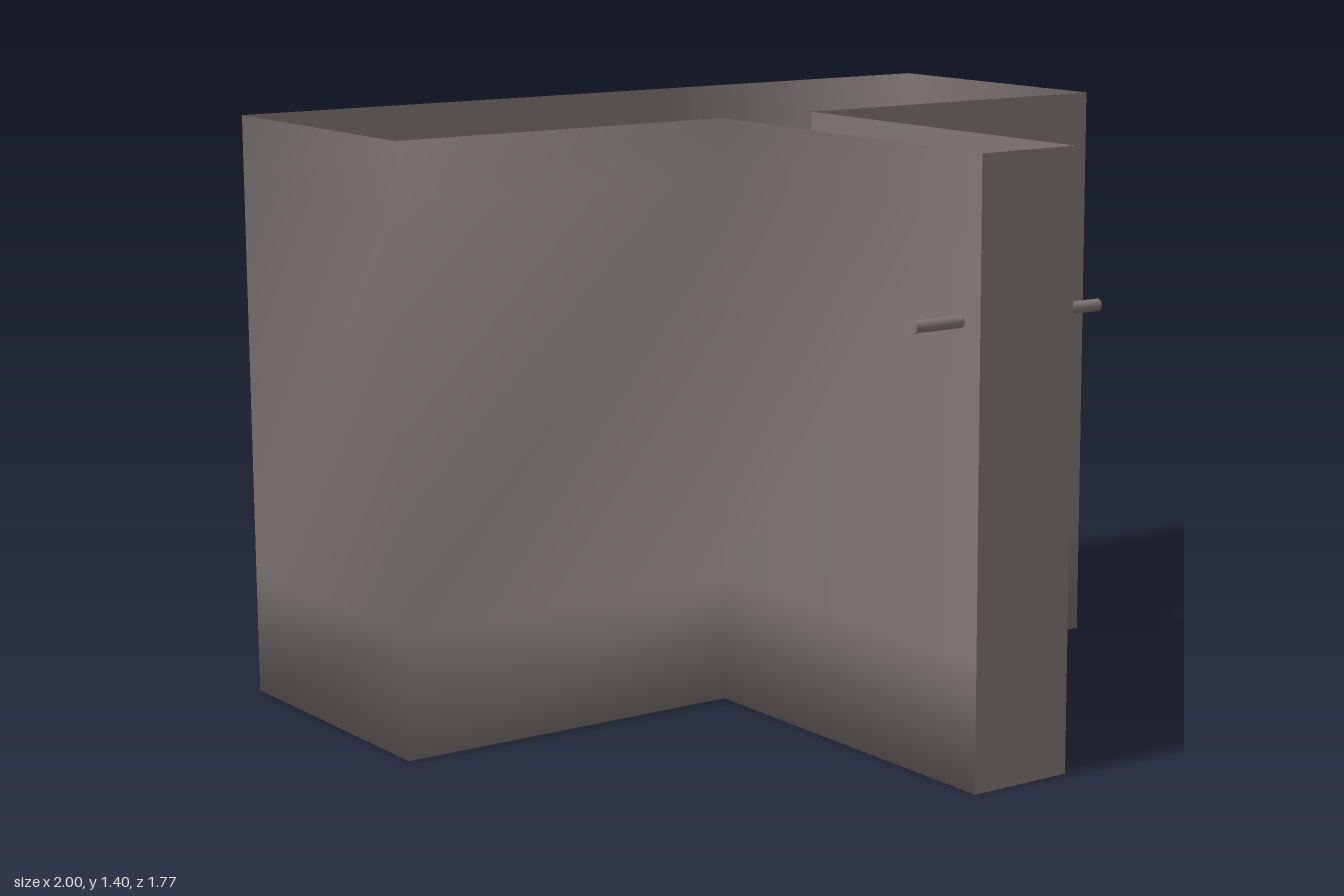
import * as THREE from 'three';

const wallMat = new THREE.MeshStandardMaterial({ color: 0x807875, side: THREE.DoubleSide });
wallMat.name = 'warm grey';

const BACK = -0.785, MID = -0.06, FRONT = 0.885, W = 0.13, H = 1.4;
const WIN = { x: 0.2, y0: 0.3, y1: 1.26, z: -0.885 };

function mesh(name, geometry) {
  const m = new THREE.Mesh(geometry, wallMat);
  m.name = name;
  return m;
}

function box(name, x0, x1, y0, y1, z0, z1) {
  const g = new THREE.BoxGeometry(x1 - x0, y1 - y0, z1 - z0);
  g.translate((x0 + x1) / 2, (y0 + y1) / 2, (z0 + z1) / 2);
  return mesh(name, g);
}

// T-shaped room: thin walls and floor with shared, smoothed normals
function shell() {
  const plan = [
    [1, BACK], [1, MID], [W, MID], [W, FRONT], [-W, FRONT],
    [-W, MID], [-1, MID], [-1, BACK], [-WIN.x, BACK], [WIN.x, BACK],
  ];
  const rows = [0, WIN.y0, WIN.y1, H];
  const n = plan.length, pos = [], idx = [];
  for (const y of rows) for (const [x, z] of plan) pos.push(x, y, z);
  for (let r = 0; r < rows.length - 1; r++) {
    for (let i = 0; i < n; i++) {
      if (i === 3) continue;            // end wall is a separate panel
      if (i === 8 && r === 1) continue; // window opening
      const j = (i + 1) % n;
      const a = r * n + i, b = r * n + j, c = a + n, d = b + n;
      idx.push(a, c, b, b, c, d);
    }
  }
  const contour = plan.map(([x, z]) => new THREE.Vector2(x, z));
  for (const [a, b, c] of THREE.ShapeUtils.triangulateShape(contour, [])) {
    const ccw = THREE.ShapeUtils.area([contour[a], contour[b], contour[c]]) > 0;
    idx.push(...(ccw ? [a, b, c] : [a, c, b]));
  }
  const g = new THREE.BufferGeometry();
  g.setAttribute('position', new THREE.Float32BufferAttribute(pos, 3));
  g.setIndex(idx);
  g.computeVertexNormals();
  return mesh('roomShell', g);
}

// Thin open sleeve standing out around the window
function windowSleeve() {
  const group = new THREE.Group();
  group.name = 'windowSleeve';
  const depth = BACK - WIN.z, zc = (BACK + WIN.z) / 2;
  for (const s of [-1, 1]) {
    const side = new THREE.PlaneGeometry(depth, WIN.y1 - WIN.y0);
    side.rotateY(s * Math.PI / 2);
    side.translate(s * WIN.x, (WIN.y0 + WIN.y1) / 2, zc);
    group.add(mesh('sleeveSide', side));
    const cap = new THREE.PlaneGeometry(WIN.x * 2, depth);
    cap.rotateX(-s * Math.PI / 2);
    cap.translate(0, s > 0 ? WIN.y1 : WIN.y0, zc);
    group.add(mesh('sleeveCap', cap));
  }
  return group;
}

// Stacked shelves with short posts along one side of the passage
function shelfRack(s) {
  const group = new THREE.Group();
  group.name = s > 0 ? 'leftRack' : 'rightRack';
  const span = (name, a, b, ...rest) =>
    group.add(box(name, Math.min(s * a, s * b), Math.max(s * a, s * b), ...rest));
  const step = 0.1;
  for (let i = 0; i < 10; i++) {
    const y = 0.26 + i * step;
    span('shelf', 0.055, 0.126, y, y + 0.02, -0.05, 0.81);
    for (let k = 0; k < 9; k++) {
      const z = -0.04 + k * 0.1;
      span('shelfPost', 0.08, 0.11, y - step + 0.02, y, z, z + 0.03);
    }
  }
  return group;
}

export function createModel() {
  const model = new THREE.Group();
  model.name = 'room';
  model.add(shell(), windowSleeve());

  // Flat end wall of the passage
  const end = new THREE.PlaneGeometry(W * 2, H);
  end.translate(0, H / 2, FRONT);
  model.add(mesh('endWall', end));

  // Racks and outer pegs, mirrored
  for (const s of [-1, 1]) {
    model.add(shelfRack(s));
    const peg = new THREE.CylinderGeometry(0.014, 0.014, 0.13, 8);
    peg.rotateZ(Math.PI / 2);
    peg.translate(s * 0.195, 1.035, 0.82);
    model.add(mesh('peg', peg));
  }

  // Thin hanging rails and the aisle strip
  model.add(box('crossRail', -0.5, 0.4, 1.098, 1.102, -0.127, -0.123));
  model.add(box('aisleRail', -0.002, 0.002, 1.098, 1.102, -0.125, 0.79));
  model.add(box('aisleStrip', -0.03, 0.03, 0.001, 0.008, -0.06, 0.79));
  return model;
}
